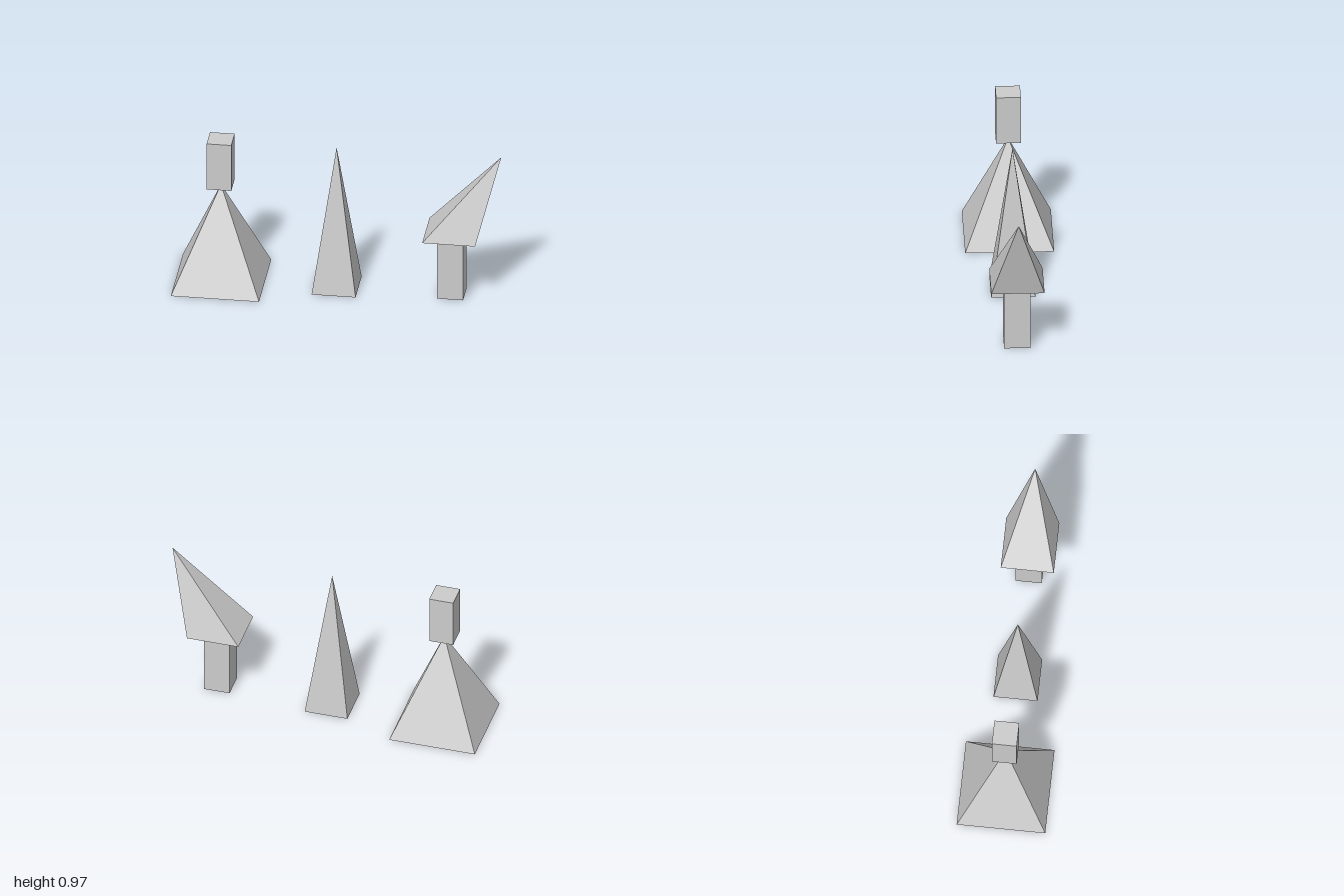
import * as THREE from 'three';

const material = new THREE.MeshStandardMaterial({ color: 0xcccccc, flatShading: true });

function part(name, geometry, x, y) {
  const mesh = new THREE.Mesh(geometry, material);
  mesh.name = name;
  mesh.position.set(x, y, 0);
  return mesh;
}

// Square pyramid standing on y; lean shifts the tip along x.
function pyramid(name, x, y, width, height, lean = 0) {
  const geometry = new THREE.ConeGeometry(width * Math.SQRT1_2, height, 4);
  geometry.rotateY(Math.PI / 4);
  geometry.translate(0, height / 2, 0);
  geometry.applyMatrix4(new THREE.Matrix4().makeShear(0, 0, lean / height, 0, 0, 0));
  // makeShear argument order: xy, xz, yx, yz, zx, zy
  return part(name, geometry, x, y);
}

// Square post standing on y.
function post(name, x, y, width, height) {
  return part(name, new THREE.BoxGeometry(width, height, width), x, y + height / 2);
}

function group(name, ...parts) {
  const g = new THREE.Group();
  g.name = name;
  g.add(...parts);
  return g;
}

export function createModel() {
  return group(
    'pyramidSculptures',
    // Wide pyramid with a block balanced on its tip
    group(
      'balancedBlock',
      pyramid('widePyramid', -0.728, 0, 0.544, 0.651),
      post('topBlock', -0.73, 0.651, 0.152, 0.316),
    ),
    // Tall slender spire
    pyramid('spire', -0.015, 0, 0.271, 0.96),
    // Post carrying a pyramid that leans to the left
    group(
      'leaningPyramidOnPost',
      post('supportPost', 0.695, 0, 0.162, 0.424),
      pyramid('leaningPyramid', 0.698, 0.424, 0.326, 0.543, 0.302),
    ),
  );
}
